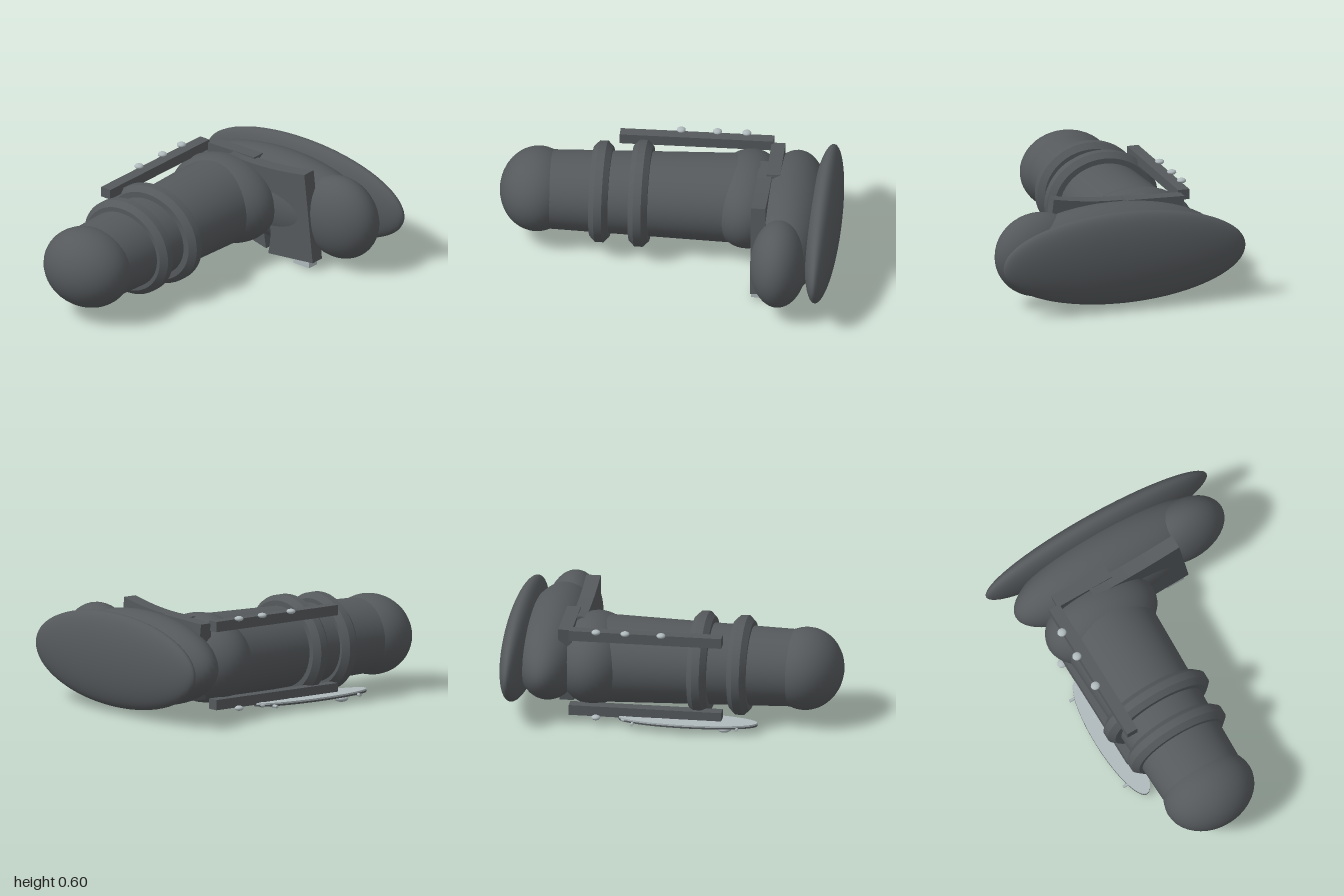
import * as THREE from 'three';
import { toCreasedNormals } from 'three/addons/utils/BufferGeometryUtils.js';

export function createModel() {
  const root = new THREE.Group();
  const dark = new THREE.MeshStandardMaterial({ color: 0x55595c });
  dark.name = 'darkGrey';
  const light = new THREE.MeshStandardMaterial({ color: 0xb0babd });
  light.name = 'paleGrey';

  const AX = -0.235, AY = 0.31; // axis of the long barrel

  function add(name, geo, mat, x = 0, y = 0, z = 0) {
    const m = new THREE.Mesh(geo, mat);
    m.name = name;
    m.position.set(x, y, z);
    root.add(m);
    return m;
  }
  function ellipsoid(name, mat, x, y, z, rx, ry, rz, seg = 40) {
    const m = add(name, new THREE.SphereGeometry(1, seg, Math.round(seg * 0.6)), mat, x, y, z);
    m.scale.set(rx, ry, rz);
    return m;
  }
  function plate(name, shape, z, depth) {
    const g = new THREE.ExtrudeGeometry(shape, { depth, bevelEnabled: false, curveSegments: 16 });
    return add(name, toCreasedNormals(g, 0.5), dark, 0, 0, z);
  }

  // rear body
  ellipsoid('backDisc', dark, 0, 0.312, -0.905, 0.74, 0.275, 0.095, 56);
  ellipsoid('crossBody', dark, 0, 0.31, -0.71, 0.655, 0.27, 0.222, 48);
  ellipsoid('sideBulb', dark, 0.445, 0.31, -0.68, 0.265, 0.25, 0.165);

  // barrel with oval section, tapering to the front
  const barrel = new THREE.CylinderGeometry(0.25, 0.288, 1.22, 48);
  barrel.rotateX(Math.PI / 2);
  barrel.scale(1, 0.87, 1);
  add('barrel', barrel, dark, AX, AY, 0.16);
  ellipsoid('shoulder', dark, AX, AY, -0.45, 0.352, 0.26, 0.23);
  ellipsoid('frontCap', dark, AX, AY, 0.775, 0.276, 0.235, 0.22);

  // octagonal-section collars around the barrel
  for (const [z, rx, ry] of [[0.405, 0.316, 0.285], [0.175, 0.34, 0.296]]) {
    const r = 0.06, profile = [];
    for (let i = 0; i <= 8; i++) {
      const a = (i + 0.5) * Math.PI / 4;
      profile.push(new THREE.Vector2(rx - r + r * Math.cos(a) * 1.08, r * Math.sin(a)));
    }
    const g = new THREE.LatheGeometry(profile, 56);
    g.rotateX(Math.PI / 2);
    g.scale(1, ry / rx, 1);
    const ring = add('collar', toCreasedNormals(g, 0.5), dark, AX, AY, z);
    dark.side = THREE.DoubleSide;
    ring.name = 'collar';
  }

  // curved bracket beside the shoulder
  const bracket = new THREE.Shape();
  bracket.moveTo(0.385, 0.055);
  bracket.lineTo(0.322, 0.6);
  bracket.quadraticCurveTo(0.02, 0.54, -0.25, 0.56);
  bracket.lineTo(-0.25, 0.48);
  bracket.quadraticCurveTo(0.14, 0.4, 0.05, 0.018);
  bracket.closePath();
  plate('bracket', bracket, -0.592, 0.084);

  // rear bracket mostly sunk in the shoulder
  const inner = new THREE.Shape();
  inner.moveTo(-0.01, 0.012);
  inner.lineTo(-0.1, 0.565);
  inner.lineTo(-0.46, 0.555);
  inner.lineTo(-0.4, 0.1);
  inner.closePath();
  plate('innerBracket', inner, -0.64, 0.08);
  add('bracketFoot', new THREE.BoxGeometry(0.115, 0.035, 0.07), light, 0.298, 0.031, -0.545);

  // upper and lower rails with studs
  for (const s of [1, -1]) {
    add('rail', new THREE.BoxGeometry(0.068, 0.06, 0.89), dark, -0.48, s > 0 ? 0.54 : 0.082, -0.125);
    for (const z of [-0.41, -0.24, 0.03 * -1]) {
      ellipsoid('railStud', light, -0.522, s > 0 ? 0.573 : 0.048, z, 0.027, 0.015, 0.026, 16);
    }
  }

  // thin oval blade under the lower rail: pale top, dark underside
  for (const [name, mat, y] of [['bladeTop', light, 0.056], ['bladeUnderside', dark, 0.046]]) {
    const g = new THREE.CylinderGeometry(1, 1, 0.01, 40);
    g.scale(0.1, 1, 0.405);
    add(name, g, mat, -0.505, y, 0.125);
  }
  ellipsoid('bladeKnob', light, -0.52, 0.022, 0.34, 0.042, 0.021, 0.042, 20);
  ellipsoid('bladeKnobSmall', light, -0.505, 0.035, -0.03, 0.02, 0.014, 0.02, 16);
  for (const z of [-0.19, 0.42]) {
    const g = new THREE.CylinderGeometry(0.009, 0.009, 0.17, 10);
    g.rotateZ(Math.PI / 2);
    add('bladePin', g, light, -0.515, 0.042, z);
  }
  return root;
}
